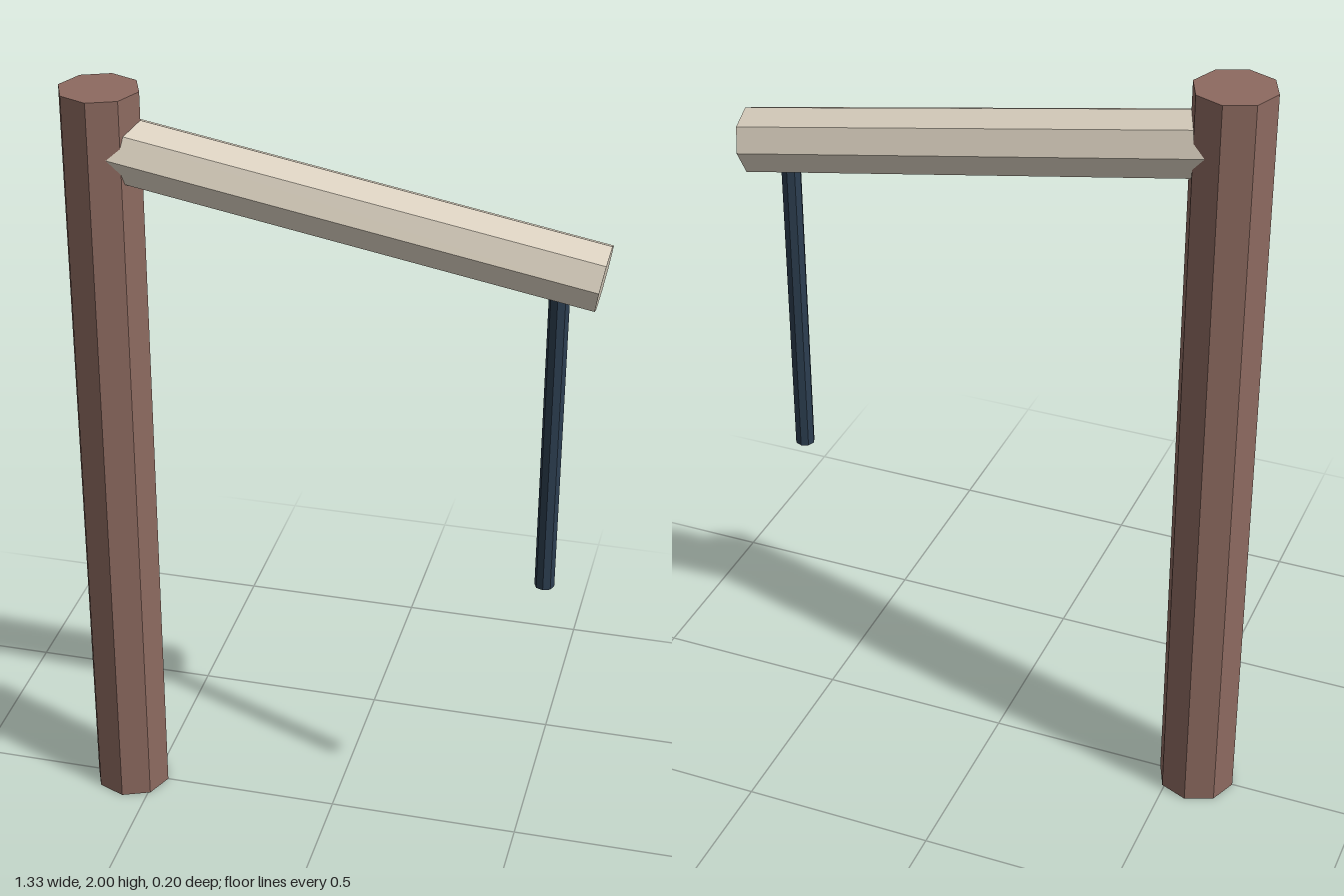
import * as THREE from 'three';

const material = (name, color) => {
  const m = new THREE.MeshStandardMaterial({ color, flatShading: true });
  m.name = name;
  return m;
};

// Eight-sided rod between two points in the z = 0 plane
function rod(name, from, to, radius, mat) {
  const a = new THREE.Vector3(from[0], from[1], 0);
  const b = new THREE.Vector3(to[0], to[1], 0);
  const dir = b.clone().sub(a);
  const mesh = new THREE.Mesh(new THREE.CylinderGeometry(radius, radius, dir.length(), 8), mat);
  mesh.name = name;
  mesh.position.copy(a).add(b).multiplyScalar(0.5);
  mesh.quaternion.setFromUnitVectors(new THREE.Vector3(0, 1, 0), dir.normalize());
  return mesh;
}

export function createModel() {
  const brown = material('brown wood', 0x8d6a60);
  const beige = material('pale wood', 0xdcd2c1);
  const navy = material('dark blue', 0x2c3e50);

  const group = new THREE.Group();
  group.name = 'postWithHangingRod';
  group.add(
    // upright post
    rod('post', [-0.565, 0], [-0.565, 2], 0.1, brown),
    // sloping beam, its upper end sunk into the post
    rod('beam', [-0.535, 1.856], [0.648, 1.647], 0.084, beige),
    // thin rod hanging under the beam's outer end
    rod('hangingRod', [0.546, 0.79], [0.546, 1.64], 0.025, navy),
  );
  return group;
}
